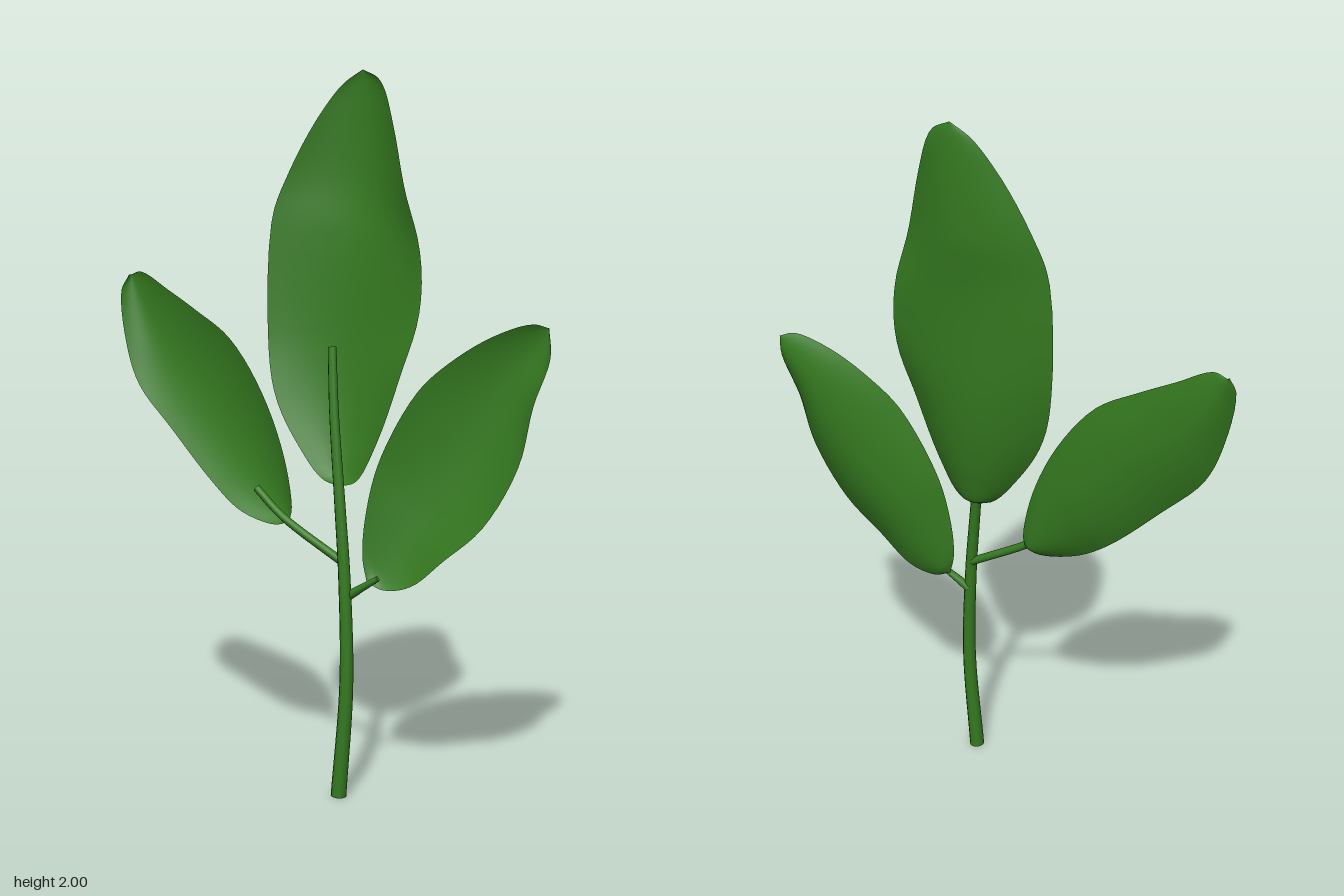
import * as THREE from 'three';

const green = new THREE.MeshStandardMaterial({ color: 0x357a20, side: THREE.DoubleSide });

const curve = (points) => new THREE.CatmullRomCurve3(points.map(([x, y, z = 0]) => new THREE.Vector3(x, y, z)));
const depthCurve = (depths) => curve(depths.map((z, i) => [i, 0, z]));

// Thin cupped blade stretched between two edge curves that run from base to tip.
// The three depth lists give z along the left edge, the midrib and the right edge.
function leaf(name, leftEdge, rightEdge, leftZ, midZ, rightZ) {
  const rows = 40, cols = 14;
  const left = curve(leftEdge), right = curve(rightEdge);
  const depths = [leftZ, midZ, rightZ].map(depthCurve);
  const geometry = new THREE.PlaneGeometry(1, 1, cols, rows);
  const pos = geometry.attributes.position;
  for (let r = 0; r <= rows; r++) {
    const t = 1 - r / rows; // plane rows start at the tip
    const a = left.getPoint(t), b = right.getPoint(t);
    const [zl, zm, zr] = depths.map((d) => d.getPoint(t).z);
    for (let c = 0; c <= cols; c++) {
      const p = a.clone().lerp(b, c / cols);
      const s = (c / cols) * 2 - 1;
      const z = zm + ((s < 0 ? zl : zr) - zm) * s * s;
      pos.setXYZ(r * (cols + 1) + c, p.x, p.y, z);
    }
  }
  geometry.computeVertexNormals();
  const mesh = new THREE.Mesh(geometry, green);
  mesh.name = name;
  return mesh;
}

// Round stalk that tapers along a curve, closed with flat ends.
function stalk(name, points, r0, r1, segments) {
  const group = new THREE.Group();
  group.name = name;
  const path = curve(points), sides = 10;
  const geometry = new THREE.TubeGeometry(path, segments, 1, sides);
  const pos = geometry.attributes.position, v = new THREE.Vector3();
  for (let i = 0; i < pos.count; i++) {
    const t = Math.floor(i / (sides + 1)) / segments;
    const centre = path.getPointAt(t);
    v.fromBufferAttribute(pos, i).sub(centre).multiplyScalar(THREE.MathUtils.lerp(r0, r1, t)).add(centre);
    pos.setXYZ(i, v.x, v.y, v.z);
  }
  group.add(new THREE.Mesh(geometry, green));
  for (const [t, r, dir] of [[0, r0, -1], [1, r1, 1]]) {
    const cap = new THREE.Mesh(new THREE.CircleGeometry(r, sides), green);
    cap.position.copy(path.getPointAt(t));
    cap.quaternion.setFromUnitVectors(new THREE.Vector3(0, 0, 1), path.getTangentAt(t).multiplyScalar(dir));
    group.add(cap);
  }
  group.children.forEach((m, i) => { m.name = ['stalkSide', 'stalkBottom', 'stalkTop'][i]; });
  return group;
}

export function createModel() {
  const model = new THREE.Group();
  model.name = 'leafSprig';

  // Stem and its two side branches
  model.add(
    stalk('mainStem', [[0.112, 0.005, 0.083], [0.133, 0.33, 0.078], [0.121, 0.62, 0.068],
      [0.1, 0.82, 0.055], [0.065, 1.08, 0.025], [0.046, 1.25, 0]], 0.022, 0.012, 36),
    stalk('rightBranch', [[0.112, 0.665, 0.06], [-0.08, 0.775, 0.056], [-0.165, 0.848, 0.053]], 0.012, 0.011, 12),
    stalk('leftBranch', [[0.125, 0.57, 0.063], [0.17, 0.6, 0.06], [0.217, 0.63, 0.056]], 0.014, 0.008, 8),
  );

  // Blades
  model.add(
    leaf('middleLeaf',
      [[0.09, 0.872], [0.035, 0.888], [-0.04, 0.97], [-0.12, 1.1], [-0.16, 1.26], [-0.16, 1.6], [-0.12, 1.72],
        [-0.04, 1.87], [0.03, 1.96], [0.09, 2]],
      [[0.09, 0.872], [0.14, 0.888], [0.2, 1], [0.26, 1.18], [0.3, 1.34], [0.295, 1.52], [0.25, 1.68],
        [0.2, 1.86], [0.15, 1.97], [0.09, 2]],
      [0.04, 0.035, 0.02, -0.02, -0.05, -0.08, -0.092],
      [0.04, 0, -0.045, -0.068, -0.095, -0.098, -0.092],
      [0.04, 0.035, 0.015, -0.025, -0.025, -0.065, -0.092]),
    leaf('rightLeaf',
      [[-0.065, 0.76], [-0.11, 0.747], [-0.22, 0.772], [-0.32, 0.835], [-0.485, 0.99], [-0.6, 1.11],
        [-0.65, 1.235], [-0.675, 1.385], [-0.66, 1.43]],
      [[-0.065, 0.76], [-0.06, 0.8], [-0.09, 0.94], [-0.17, 1.11], [-0.29, 1.26], [-0.415, 1.335],
        [-0.52, 1.39], [-0.62, 1.44], [-0.66, 1.43]],
      [0.045, 0.04, 0, -0.015, -0.05],
      [0.045, 0.005, -0.04, -0.06, -0.06],
      [0.045, 0.03, -0.01, -0.045, -0.06]),
    leaf('leftLeaf',
      [[0.18, 0.615], [0.162, 0.685], [0.17, 0.82], [0.205, 0.96], [0.305, 1.14], [0.39, 1.22], [0.51, 1.295],
        [0.615, 1.33], [0.655, 1.32]],
      [[0.18, 0.615], [0.23, 0.597], [0.31, 0.615], [0.405, 0.695], [0.515, 0.795], [0.605, 0.96], [0.635, 1.12],
        [0.67, 1.245], [0.655, 1.32]],
      [0.05, 0.03, 0, -0.025, -0.055],
      [0.05, 0.012, -0.035, -0.055, -0.055],
      [0.05, 0.045, 0.04, 0, -0.05]),
  );
  return model;
}
